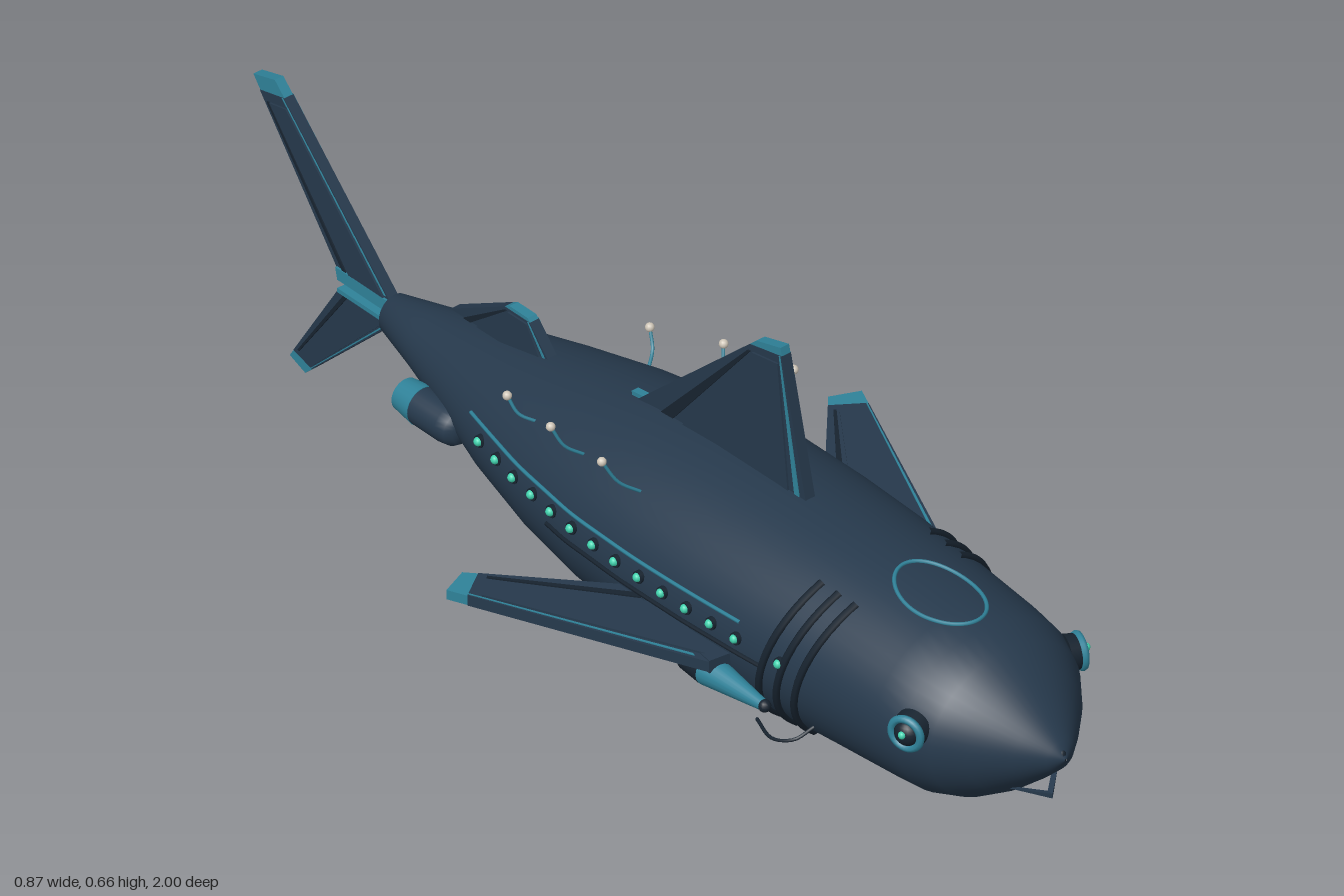
import * as THREE from 'three';

const mat = (name, color) => Object.assign(new THREE.MeshStandardMaterial({ color }), { name });
const V = (x, y, z) => new THREE.Vector3(x, y, z);

// Hull stations, nose to tail: z, top, bottom, half width
const STATIONS = [
  [1, 0.222, 0.218, 0.002], [0.985, 0.247, 0.193, 0.03], [0.95, 0.28, 0.16, 0.07], [0.9, 0.322, 0.118, 0.12],
  [0.85, 0.354, 0.087, 0.159], [0.8, 0.372, 0.071, 0.181], [0.74, 0.381, 0.066, 0.188], [0.6, 0.392, 0.057, 0.198],
  [0.45, 0.398, 0.048, 0.21], [0.3, 0.4, 0.044, 0.216], [0.15, 0.398, 0.045, 0.216], [0, 0.388, 0.053, 0.207],
  [-0.15, 0.366, 0.073, 0.182], [-0.3, 0.336, 0.105, 0.145], [-0.45, 0.304, 0.148, 0.098],
  [-0.56, 0.28, 0.173, 0.064], [-0.66, 0.26, 0.187, 0.033],
];

// Centre height, half height and half width of the hull at z
function section(z) {
  let i = 0;
  while (i < STATIONS.length - 2 && STATIONS[i + 1][0] > z) i++;
  const a = STATIONS[i], b = STATIONS[i + 1], t = (z - a[0]) / (b[0] - a[0]);
  const [top, bot, w] = [1, 2, 3].map(k => a[k] + (b[k] - a[k]) * t);
  return { c: (top + bot) / 2, h: (top - bot) / 2, w };
}

// Point on the hull at a given angle above the +x side
function skin(z, angle, lift = 0) {
  const { c, h, w } = section(z);
  return V(Math.cos(angle) * (w + lift), c + Math.sin(angle) * (h + lift), z);
}

function skinAtHeight(z, y, side, lift = 0) {
  const { c, h } = section(z), a = Math.asin(THREE.MathUtils.clamp((y - c) / h, -1, 1));
  return skin(z, side > 0 ? a : Math.PI - a, lift);
}

function hullGeometry() {
  const N = 48, pos = [], index = [], rows = [...STATIONS.map(s => s[0]), null];
  for (const z of rows)
    for (let j = 0; j < N; j++) {
      const p = z === null ? V(0, 0.2235, -0.662) : skin(z, (j / N) * Math.PI * 2);
      pos.push(p.x, p.y, p.z);
    }
  for (let i = 0; i < rows.length - 1; i++)
    for (let j = 0; j < N; j++) {
      const a = i * N + j, b = i * N + (j + 1) % N;
      index.push(a, a + N, b, b, a + N, b + N);
    }
  const g = new THREE.BufferGeometry();
  g.setAttribute('position', new THREE.Float32BufferAttribute(pos, 3));
  g.setIndex(index);
  g.computeVertexNormals();
  return g;
}

export function createModel() {
  const hull = mat('hull navy', 0x26394c), dark = mat('dark trim', 0x17232f), teal = mat('teal accent', 0x2f8299);
  const glow = mat('green glow', 0x40d3ae), pale = mat('pale lamp', 0xcfc6b8);
  const model = new THREE.Group();
  model.name = 'sharkSubmarine';

  const add = (name, geo, material, p = V(0, 0, 0), parent = model) => {
    const m = new THREE.Mesh(geo, material);
    m.name = name;
    m.position.copy(p);
    parent.add(m);
    return m;
  };
  const tube = (name, pts, r, material, closed = false) =>
    add(name, new THREE.TubeGeometry(new THREE.CatmullRomCurve3(pts, closed), pts.length * 4, r, 6, closed), material);

  // Flat slab: upright in (z, y), or lying in (x, z) at a height
  function slab(name, pts, thick, material, lyingAt, parent) {
    const g = new THREE.ExtrudeGeometry(new THREE.Shape(pts.map(p => new THREE.Vector2(...p))), { depth: thick, bevelEnabled: false });
    g.translate(0, 0, -thick / 2);
    if (lyingAt === undefined) g.rotateY(-Math.PI / 2);
    else g.rotateX(Math.PI / 2).translate(0, lyingAt, 0);
    return add(name, g, material, undefined, parent);
  }

  // Fin from root front, tip front, tip rear, root rear, with tip cap and ribs
  function fin(name, [rf, tf, tr, rr], lyingAt, capAt = 0.92) {
    const group = new THREE.Group();
    group.name = name;
    model.add(group);
    const mix = (a, b, t) => [a[0] + (b[0] - a[0]) * t, a[1] + (b[1] - a[1]) * t];
    const at = (u, v) => mix(mix(rf, tf, v), mix(rr, tr, v), u);
    const patch = (u0, u1, v0, v1) => [at(u0, v0), at(u0, v1), at(u1, v1), at(u1, v0)];
    slab('finBlade', patch(0, 1, 0, capAt), 0.02, hull, lyingAt, group);
    slab('finCap', patch(0, 1, capAt, 1), 0.018, teal, lyingAt, group);
    slab('finPanel', patch(0.1, 0.74, 0, capAt - 0.05), 0.027, hull, lyingAt, group);
    slab('finRib', patch(0.8, 0.87, 0, capAt - 0.05), 0.025, dark, lyingAt, group);
    slab('finEdgeLine', patch(0.035, 0.065, 0.05, capAt), 0.023, teal, lyingAt, group);
  }

  add('hull', hullGeometry(), hull);

  // Upright fins and tail
  fin('dorsalFin', [[0.375, 0.37], [0.305, 0.662], [0.245, 0.645], [-0.07, 0.36]], undefined, 0.95);
  fin('rearDorsalFin', [[-0.25, 0.32], [-0.32, 0.395], [-0.365, 0.395], [-0.51, 0.315]]);
  fin('upperTailFin', [[-0.65, 0.242], [-0.945, 0.532], [-0.998, 0.517], [-0.785, 0.242]]);
  fin('lowerTailFin', [[-0.65, 0.212], [-0.87, 0.003], [-0.908, 0.018], [-0.785, 0.212]]);
  slab('tailRootBand', [[-0.65, 0.23], [-0.65, 0.252], [-0.79, 0.252], [-0.785, 0.23]], 0.028, teal);
  slab('lowerTailBand', [[-0.65, 0.206], [-0.65, 0.214], [-0.785, 0.214], [-0.785, 0.206]], 0.028, teal);
  add('dorsalBaseStrip', new THREE.BoxGeometry(0.014, 0.012, 0.09), teal, V(0, 0.386, -0.02)).rotation.x = -0.14;

  // Hatch ring on the forehead
  const ring = [];
  for (let i = 0; i < 24; i++) {
    const a = (i / 24) * Math.PI * 2, z = 0.69 + Math.sin(a) * 0.09, x = Math.cos(a) * 0.06;
    ring.push(skin(z, Math.acos(x / section(z).w), 0.001));
  }
  tube('hatchRing', ring, 0.0035, teal, true);

  // Snout details
  add('noseSensor', new THREE.SphereGeometry(0.011, 14, 10), dark, V(0, 0.222, 0.988)).scale.set(0.9, 1.3, 0.9);
  const lip = new THREE.Shape([[-0.05, 0.146], [0, 0.137], [0.05, 0.146], [0, 0.128]].map(p => new THREE.Vector2(...p)).reverse());
  const lipGeo = new THREE.ExtrudeGeometry(lip, { depth: 0.012, bevelEnabled: false });
  const lp = lipGeo.attributes.position;
  for (let i = 0; i < lp.count; i++) lp.setZ(i, lp.getZ(i) + 0.955 - Math.abs(lp.getX(i)) * 0.9);
  lipGeo.computeVertexNormals();
  add('mouth', lipGeo, hull);

  for (const s of [1, -1]) {
    const side = s > 0 ? 'left' : 'right';
    const flip = a => (s > 0 ? a : Math.PI - a);

    fin(side + 'PectoralFin', [[s * 0.2, 0.42], [s * 0.437, -0.018], [s * 0.385, -0.04], [s * 0.17, 0.2]].map((p, i) =>
      i === 0 ? [s * 0.25, 0.412] : p), 0.205);
    slab(side + 'FinRoot', [[s * 0.18, 0.42], [s * 0.25, 0.412], [s * 0.215, 0.2], [s * 0.18, 0.2]], 0.024, hull, 0.205);

    // Pod slung below the pectoral fin
    add(side + 'PodNose', new THREE.CylinderGeometry(0.009, 0.028, 0.14, 20).rotateX(Math.PI / 2), teal, V(s * 0.228, 0.178, 0.455));
    add(side + 'PodBody', new THREE.CylinderGeometry(0.028, 0.024, 0.05, 20).rotateX(Math.PI / 2), dark, V(s * 0.228, 0.178, 0.36));
    add(side + 'PodTip', new THREE.SphereGeometry(0.011, 12, 8), dark, V(s * 0.228, 0.178, 0.523));

    // Eye: teal ring, dark dome and small light
    const eye = new THREE.Group();
    eye.name = side + 'Eye';
    eye.position.copy(skinAtHeight(0.815, 0.257, s, 0.002));
    eye.rotation.y = s * 1.25;
    model.add(eye);
    add('eyeSocket', new THREE.CylinderGeometry(0.029, 0.033, 0.024, 24).rotateX(Math.PI / 2), dark, V(0, 0, 0), eye);
    add('eyeRing', new THREE.TorusGeometry(0.027, 0.007, 8, 28), teal, V(0, 0, 0.012), eye);
    add('eyeDome', new THREE.SphereGeometry(0.022, 18, 12), dark, V(0, 0, 0.01), eye).scale.z = 0.75;
    add('eyeLight', new THREE.SphereGeometry(0.007, 10, 8), glow, V(0, 0.004, 0.024), eye);

    // Gill bands, leaning forward at the top
    [0.49, 0.53, 0.57].forEach(z0 => {
      const pts = [];
      for (let k = 0; k <= 10; k++) {
        const a = -0.85 + (k / 10) * 1.85;
        pts.push(skin(z0 + 0.045 * Math.sin(a), flip(a), 0.001));
      }
      tube(side + 'Gill', pts, 0.007, dark);
    });

    // Portholes along the flank
    const holes = [0.53];
    for (let k = 0; k < 13; k++) holes.push(0.43 - k * 0.0585);
    holes.forEach(z => {
      const y = 0.252 - (z < 0 ? -z * 0.03 : 0);
      add(side + 'PortholeFrame', new THREE.CylinderGeometry(0.011, 0.011, 0.01, 14).rotateZ(Math.PI / 2), dark, skinAtHeight(z, y, s));
      add(side + 'PortholeLight', new THREE.SphereGeometry(0.008, 10, 8), glow, skinAtHeight(z, y, s, 0.005));
    });

    // Flank trim lines above and below the portholes
    const line = (z0, z1, y0, y1) => Array.from({ length: 10 }, (_, k) =>
      skinAtHeight(z0 + (z1 - z0) * k / 9, y0 + (y1 - y0) * k / 9, s, 0.001));
    tube(side + 'UpperTrim', line(0.43, -0.32, 0.279, 0.265), 0.0035, teal);
    tube(side + 'LowerTrim', line(0.49, -0.05, 0.228, 0.222), 0.004, dark);

    // Antennae with lamp tips
    [[0.12, 0.09, 0.202, 0.415], [-0.03, -0.06, 0.182, 0.396], [-0.17, -0.205, 0.15, 0.367]].forEach(([z0, z1, x, y]) => {
      const base = skin(z0, flip(0.82), -0.004), tip = V(s * x, y, z1);
      const mid = base.clone().lerp(tip, 0.5).add(V(s * 0.007, -0.007, 0));
      tube(side + 'AntennaStalk', [base, mid, tip], 0.003, teal);
      add(side + 'AntennaLamp', new THREE.SphereGeometry(0.008, 12, 8), pale, tip);
    });

    // Barbel behind the jaw
    tube(side + 'Barbel', [V(s * 0.19, 0.16, 0.6), V(s * 0.222, 0.145, 0.59), V(s * 0.236, 0.133, 0.55), V(s * 0.225, 0.14, 0.5)], 0.003, dark);

    // Rear thruster
    const thruster = new THREE.Group();
    thruster.name = side + 'Thruster';
    thruster.position.set(s * 0.105, 0.192, -0.44);
    model.add(thruster);
    const shell = [[0, -0.075], [0.022, -0.073], [0.031, -0.06], [0.034, -0.04], [0.034, 0.03]].map(p => new THREE.Vector2(...p));
    add('thrusterBody', new THREE.LatheGeometry(shell, 24).rotateX(-Math.PI / 2), hull, undefined, thruster);
    add('thrusterRing', new THREE.CylinderGeometry(0.035, 0.029, 0.045, 24).rotateX(Math.PI / 2), teal, V(0, 0, -0.0475), thruster);
    add('thrusterNozzle', new THREE.CylinderGeometry(0.024, 0.024, 0.004, 20).rotateX(Math.PI / 2), dark, V(0, 0, -0.071), thruster);
    add('thrusterGlow', new THREE.SphereGeometry(0.018, 14, 10), glow, V(0, 0, -0.07), thruster).scale.z = 0.4;
  }
  return model;
}
